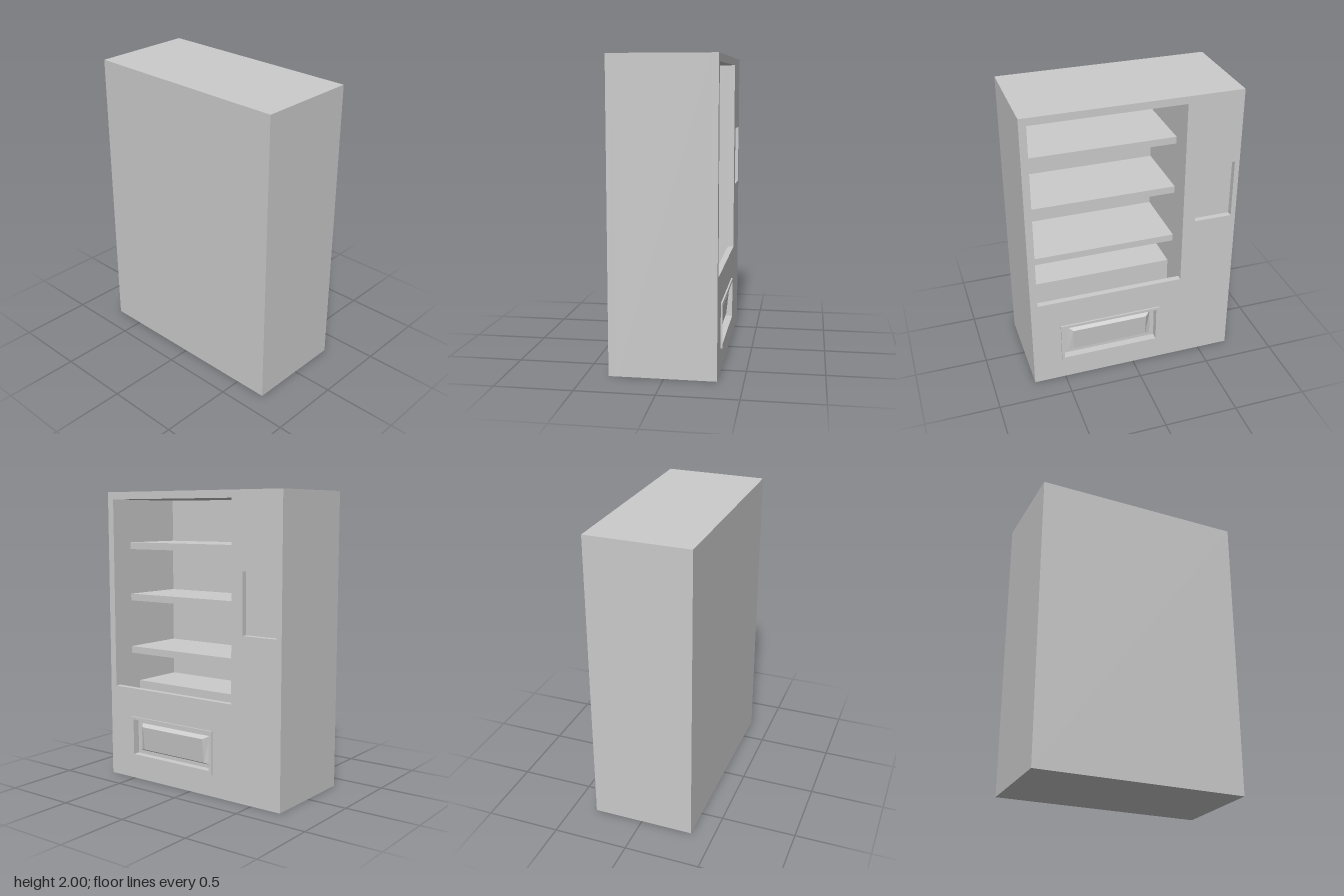
import * as THREE from 'three';

const material = new THREE.MeshStandardMaterial({ color: 0xcccccc, flatShading: true });

// Rectangle in the (-z, y) plane, used for panel outlines and openings
function rect(z0, z1, y0, y1, Type = THREE.Path) {
  const r = new Type();
  r.moveTo(-z1, y0);
  r.lineTo(-z0, y0);
  r.lineTo(-z0, y1);
  r.lineTo(-z1, y1);
  r.closePath();
  return r;
}

export function createModel() {
  const group = new THREE.Group();

  const add = (name, geometry) => {
    const mesh = new THREE.Mesh(geometry, material);
    mesh.name = name;
    group.add(mesh);
    return mesh;
  };

  const box = (name, x0, x1, y0, y1, z0, z1) =>
    add(name, new THREE.BoxGeometry(x1 - x0, y1 - y0, z1 - z0)
      .translate((x0 + x1) / 2, (y0 + y1) / 2, (z0 + z1) / 2));

  // Flat panel with openings, thickness running along +x
  const panel = (name, x0, x1, outline, holes) => {
    outline.holes = holes;
    const g = new THREE.ExtrudeGeometry(outline, { depth: x1 - x0, bevelEnabled: false });
    return add(name, g.rotateY(Math.PI / 2).translate(x0, 0, 0));
  };

  const back = -0.35, inner = 0.295, face = 0.335, W = 0.718;
  const win = { z0: -0.34, z1: 0.67, y0: 0.645, y1: 1.95 };

  // Cabinet shell around the display compartment
  box('backWall', back, -0.3, 0, 2, -W, W);
  box('leftWall', -0.3, inner, 0, 2, win.z1, W);
  box('controlColumn', -0.3, inner, 0, 2, -W, win.z0);
  box('roof', -0.3, inner, win.y1, 2, win.z0, win.z1);

  // Compartment floor with the drop slot in front of it
  box('compartmentFloor', -0.3, 0.088, 0, win.y0, win.z0, win.z1);
  box('dropSlotFloor', 0.088, inner, 0, 0.445, win.z0, win.z1);

  // Front panel with window, keypad recess and delivery opening
  panel('frontPanel', inner, face, rect(-W, W, 0, 2, THREE.Shape), [
    rect(win.z0, win.z1, win.y0, win.y1),
    rect(-0.685, -0.425, 1.095, 1.5),
    rect(-0.165, 0.5, 0.175, 0.425),
  ]);

  // Shelves
  for (const y of [0.86, 1.24, 1.605]) {
    box('shelf', -0.3, 0.168, y, y + 0.048, win.z0, win.z1);
  }

  // Frame around the delivery opening
  panel('deliveryFrame', face, 0.346, rect(-0.19, 0.52, 0.15, 0.445, THREE.Shape), [
    rect(-0.165, 0.5, 0.175, 0.425),
  ]);

  // Delivery flap: a bevelled plate, leaning in towards its lower edge
  const flap = new THREE.BoxGeometry(1, 1, 1).toNonIndexed();
  const p = flap.attributes.position;
  for (let i = 0; i < p.count; i++) {
    const front = p.getX(i) > 0, top = p.getY(i) > 0, left = p.getZ(i) > 0;
    const y = top ? (front ? 0.375 : 0.395) : (front ? 0.21 : 0.2);
    const z = left ? (front ? 0.43 : 0.465) : (front ? -0.097 : -0.135);
    p.setXYZ(i, front ? (top ? 0.328 : 0.31) : inner, y, z);
  }
  flap.computeVertexNormals();
  add('deliveryFlap', flap);

  return group;
}
